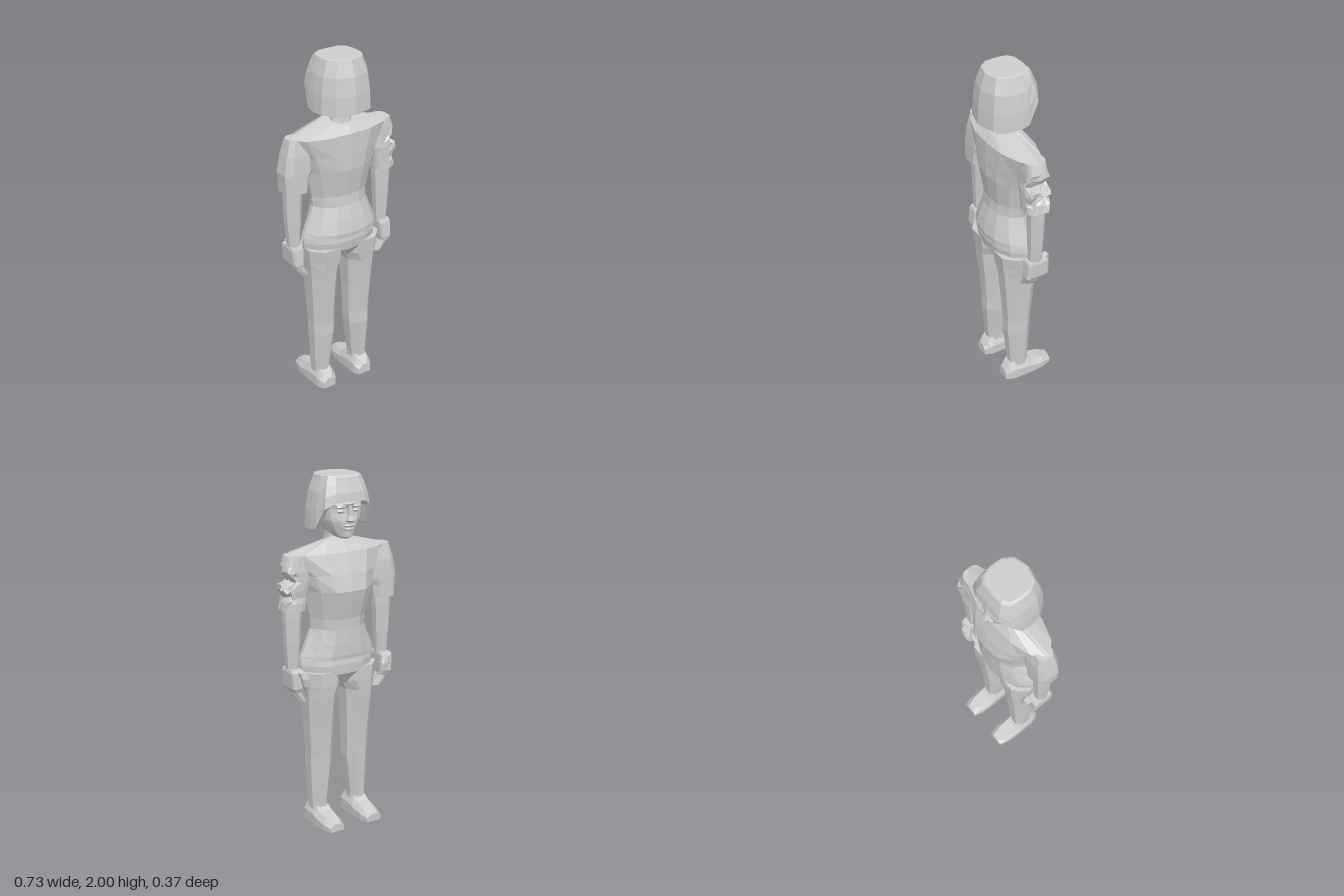
import * as THREE from 'three';

const grey = new THREE.MeshStandardMaterial({ color: 0xcccccc, flatShading: true });
grey.name = 'light grey';

let seed = 7;
const rnd = () => ((seed = (seed * 16807) % 2147483647) / 2147483647) * 2 - 1;

// Closed, capped skin over a list of rings; turned outward by its signed volume
function loft(name, rings) {
  const tris = [], n = rings[0].length;
  for (let r = 0; r < rings.length - 1; r++) {
    for (let i = 0; i < n; i++) {
      const j = (i + 1) % n;
      const [a, b, c, d] = [rings[r][i], rings[r][j], rings[r + 1][j], rings[r + 1][i]];
      tris.push([a, b, c], [a, c, d]);
    }
  }
  const cap = (ring, flip) => {
    const m = [0, 1, 2].map(k => ring.reduce((s, p) => s + p[k], 0) / n);
    ring.forEach((p, i) => {
      const q = ring[(i + 1) % n];
      tris.push(flip ? [m, q, p] : [m, p, q]);
    });
  };
  cap(rings[0], true);
  cap(rings[rings.length - 1], false);
  let volume = 0;
  for (const [a, b, c] of tris) {
    volume += a[0] * (b[1] * c[2] - b[2] * c[1]) + a[1] * (b[2] * c[0] - b[0] * c[2]) + a[2] * (b[0] * c[1] - b[1] * c[0]);
  }
  if (volume < 0) tris.forEach(t => t.reverse());
  const g = new THREE.BufferGeometry();
  g.setAttribute('position', new THREE.Float32BufferAttribute(tris.flat(2), 3));
  g.computeVertexNormals();
  const mesh = new THREE.Mesh(g, grey);
  mesh.name = name;
  return mesh;
}

// Chamfered rectangle at height y; s mirrors it to the other side
const octagon = (s, [y, x0, x1, z0, z1], k = 0.28) => {
  const dx = (x1 - x0) * k, dz = (z1 - z0) * k;
  return [[x0 + dx, z0], [x1 - dx, z0], [x1, z0 + dz], [x1, z1 - dz], [x1 - dx, z1], [x0 + dx, z1], [x0, z1 - dz], [x0, z0 + dz]]
    .map(([x, z]) => [s * x, y, z]);
};
const limb = (name, s, rows, k) => loft(name, rows.map(r => octagon(s, r, k)));

// Mirrors a half outline, whose first and last points lie on the middle plane
const mirrored = half => [...half, ...half.slice(1, -1).reverse().map(([x, y, z]) => [-x, y, z])];

// Lens-shaped body section: [height, half width, face-side z, back z, tilt]
const bodyRing = ([y, w, zf, zb, tilt = 0]) => {
  const mid = 0.018;
  const half = [[0, 1], [0.42, 0.95], [0.76, 0.62], [1, 0.08], [1, -0.08], [0.78, -0.6], [0.42, -0.92], [0, -1]];
  return mirrored(half.map(([u, v]) => [u * w, y - tilt * v, v > 0 ? mid + (zf - mid) * v : mid + (mid - zb) * v]));
};

// Bob of hair: every column runs from the crown to its own lower edge
function hair() {
  const plan = [[0, -0.14, 1.865], [0.1, -0.135, 1.86], [0.15, -0.1, 1.83], [0.163, -0.03, 1.72], [0.165, 0.02, 1.71],
    [0.158, 0.09, 1.71], [0.11, 0.155, 1.71], [0, 0.185, 1.71]];
  const profile = [[2, 0.62], [1.995, 0.7], [1.975, 0.74], [1.91, 0.88], [1.81, 0.97], [1.71, 1]];
  const scaleAt = y => {
    for (let i = 1; i < profile.length; i++) {
      const [y0, s0] = profile[i - 1], [y1, s1] = profile[i];
      if (y >= y1) return s0 + (s1 - s0) * (y0 - y) / (y0 - y1);
    }
    return 1;
  };
  const row = (py, inset = 1) => mirrored(plan.map(([x, z, low]) => {
    const y = 2 - (2 - py) * (2 - low) / 0.29, s = scaleAt(y) * inset;
    return [x * s, y, 0.03 + (z - 0.03) * s];
  }));
  return loft('hair', [...profile.map(p => row(p[0])), row(1.716, 0.86)]);
}

// Head with the face on the -z side: [height, middle z, half width, cheek z, back z]
function head() {
  const g = new THREE.Group();
  g.name = 'head';
  const rows = [[1.66, -0.09, 0.03, -0.07, -0.03], [1.67, -0.107, 0.05, -0.05, 0], [1.70, -0.108, 0.08, -0.03, 0.06],
    [1.725, -0.114, 0.095, -0.02, 0.1], [1.76, -0.116, 0.112, -0.02, 0.12], [1.80, -0.108, 0.12, -0.02, 0.12],
    [1.825, -0.107, 0.122, -0.02, 0.12], [1.85, -0.122, 0.122, -0.02, 0.12], [1.93, -0.09, 0.09, -0.01, 0.1]];
  g.add(loft('face', rows.map(([y, zf, w, zs, zb]) => mirrored([[0, y, zf], [w * 0.45, y, zf + 0.008],
    [w * 0.8, y, zf * 0.6 + zs * 0.4], [w, y, zs], [w * 0.8, y, zb * 0.8], [0, y, zb]]))));
  g.add(limb('nose', 1, [[1.845, -0.009, 0.009, -0.124, -0.1], [1.79, -0.013, 0.013, -0.135, -0.1],
    [1.765, -0.022, 0.022, -0.148, -0.1], [1.752, -0.016, 0.016, -0.132, -0.1]]));
  [[1.734, 0.034, -0.123], [1.714, 0.03, -0.12]].forEach(([y, w, z], i) =>
    g.add(limb(i ? 'lowerLip' : 'upperLip', 1, [[y + 0.007, -w * 0.7, w * 0.7, z + 0.004, -0.09],
      [y, -w, w, z, -0.09], [y - 0.007, -w * 0.7, w * 0.7, z + 0.004, -0.09]])));
  for (const s of [1, -1]) {
    g.add(limb('eye', s, [[1.821, 0.032, 0.06, -0.106, -0.08], [1.812, 0.024, 0.068, -0.112, -0.08], [1.802, 0.032, 0.06, -0.106, -0.08]]));
    g.add(limb('brow', s, [[1.848, 0.018, 0.075, -0.116, -0.08], [1.836, 0.016, 0.078, -0.122, -0.08], [1.83, 0.02, 0.07, -0.11, -0.08]]));
  }
  g.add(limb('neck', 1, [[1.6, -0.07, 0.07, -0.03, 0.09], [1.66, -0.058, 0.058, -0.022, 0.078], [1.76, -0.055, 0.055, -0.03, 0.075]]));
  g.add(hair());
  return g;
}

// Torn sleeve: a rumpled tube with a notch bitten out of its outer side
function tornSleeve() {
  const rows = [[1.585, 0.2, 0.325, -0.045, 0.07], [1.53, 0.19, 0.345, -0.05, 0.075], [1.50, 0.19, 0.345, -0.055, 0.075],
    [1.47, 0.19, 0.325, -0.055, 0.075], [1.445, 0.19, 0.31, -0.055, 0.075], [1.42, 0.19, 0.345, -0.055, 0.08],
    [1.395, 0.2, 0.355, -0.055, 0.08], [1.36, 0.21, 0.34, -0.05, 0.08], [1.33, 0.215, 0.35, -0.055, 0.08], [1.285, 0.22, 0.355, -0.055, 0.08]];
  return loft('tornSleeve', rows.map(([y, x0, x1, z0, z1], r) => Array.from({ length: 18 }, (_, i) => {
    const a = i / 18 * Math.PI * 2, c = Math.cos(a), d = Math.sin(a);
    const rough = r > 1 && c > 0.3 ? 0.013 : 0;
    const square = v => Math.sign(v) * Math.abs(v) ** 0.7;
    return [(x0 + x1) / 2 + square(c) * (x1 - x0) / 2 + rnd() * rough, y + rnd() * rough, (z0 + z1) / 2 + square(d) * (z1 - z0) / 2 + rnd() * rough];
  })));
}

function arm(s) {
  const g = new THREE.Group();
  g.name = s > 0 ? 'leftArm' : 'rightArm';
  g.add(s > 0 ? tornSleeve() : limb('sleeve', s, [[1.59, 0.2, 0.325, -0.03, 0.06], [1.5, 0.19, 0.347, -0.05, 0.075],
    [1.40, 0.19, 0.366, -0.055, 0.08], [1.36, 0.21, 0.362, -0.055, 0.08], [1.285, 0.22, 0.358, -0.055, 0.08]], 0.2));
  g.add(limb('forearm', s, [[1.32, 0.245, 0.342, -0.035, 0.055], [1.24, 0.243, 0.343, -0.037, 0.052],
    [1.1, 0.25, 0.338, -0.033, 0.05], [0.93, 0.26, 0.325, -0.025, 0.045]]));
  g.add(limb('palm', s, [[0.955, 0.262, 0.328, -0.05, 0.06], [0.94, 0.258, 0.332, -0.06, 0.066],
    [0.85, 0.264, 0.326, -0.062, 0.076], [0.825, 0.268, 0.31, -0.05, 0.07]], 0.1));
  for (let i = 0; i < 4; i++) {
    const z = 0.072 - i * 0.03, low = [0.02, 0.005, 0, 0.01][i];
    g.add(limb('finger', s, [[0.845, 0.272, 0.312, z - 0.028, z], [0.795 + low, 0.256, 0.292, z - 0.026, z - 0.001],
      [0.755 + low, 0.234, 0.258, z - 0.024, z - 0.004]], 0.2));
  }
  g.add(limb('thumb', s, [[0.945, 0.255, 0.295, -0.085, -0.045], [0.91, 0.24, 0.285, -0.093, -0.06],
    [0.865, 0.236, 0.272, -0.088, -0.055], [0.835, 0.232, 0.255, -0.075, -0.05]], 0.2));
  return g;
}

function leg(s) {
  const g = new THREE.Group();
  g.name = s > 0 ? 'leftLeg' : 'rightLeg';
  g.add(limb('trouserLeg', s, [[0.92, 0.0, 0.232, -0.095, 0.14], [0.84, 0.004, 0.222, -0.095, 0.13], [0.78, 0.034, 0.213, -0.09, 0.122],
    [0.6, 0.045, 0.2, -0.07, 0.105], [0.42, 0.05, 0.19, -0.056, 0.092], [0.35, 0.052, 0.19, -0.052, 0.095],
    [0.12, 0.08, 0.178, -0.04, 0.075], [0.06, 0.08, 0.176, -0.04, 0.073]]));
  // Shoe sections from heel to toe: [z, inner x, outer x, top height]
  const rows = [[0.115, 0.085, 0.165, 0.06], [0.085, 0.07, 0.182, 0.095], [0.06, 0.066, 0.187, 0.112], [-0.035, 0.064, 0.19, 0.1],
    [-0.06, 0.063, 0.19, 0.08], [-0.13, 0.066, 0.186, 0.065], [-0.188, 0.08, 0.17, 0.045]];
  g.add(loft('shoe', rows.map(([z, a, b, h]) => [[a, 0], [b, 0], [b, h * 0.55], [b - 0.025, h], [a + 0.025, h], [a, h * 0.55]]
    .map(([x, y]) => [s * x, y, z]))));
  return g;
}

export function createModel() {
  const model = new THREE.Group();
  model.name = 'standingFigure';
  model.add(head());
  model.add(loft('shirt', [[0.985, 0.24, -0.104, 0.157], [1.01, 0.232, -0.108, 0.16], [1.08, 0.202, -0.11, 0.145], [1.16, 0.172, -0.109, 0.122],
    [1.22, 0.178, -0.112, 0.116], [1.38, 0.212, -0.15, 0.142], [1.47, 0.25, -0.127, 0.142], [1.585, 0.325, -0.085, 0.138],
    [1.645, 0.085, -0.03, 0.105, -0.02], [1.65, 0.06, -0.02, 0.09, -0.02]].map(bodyRing)));
  model.add(loft('trouserTop', [[1.0, 0.228, -0.095, 0.148], [0.955, 0.236, -0.103, 0.152], [0.9, 0.23, -0.1, 0.142],
    [0.83, 0.1, -0.05, 0.09]].map(bodyRing)));
  for (const s of [1, -1]) model.add(arm(s), leg(s));
  return model;
}
